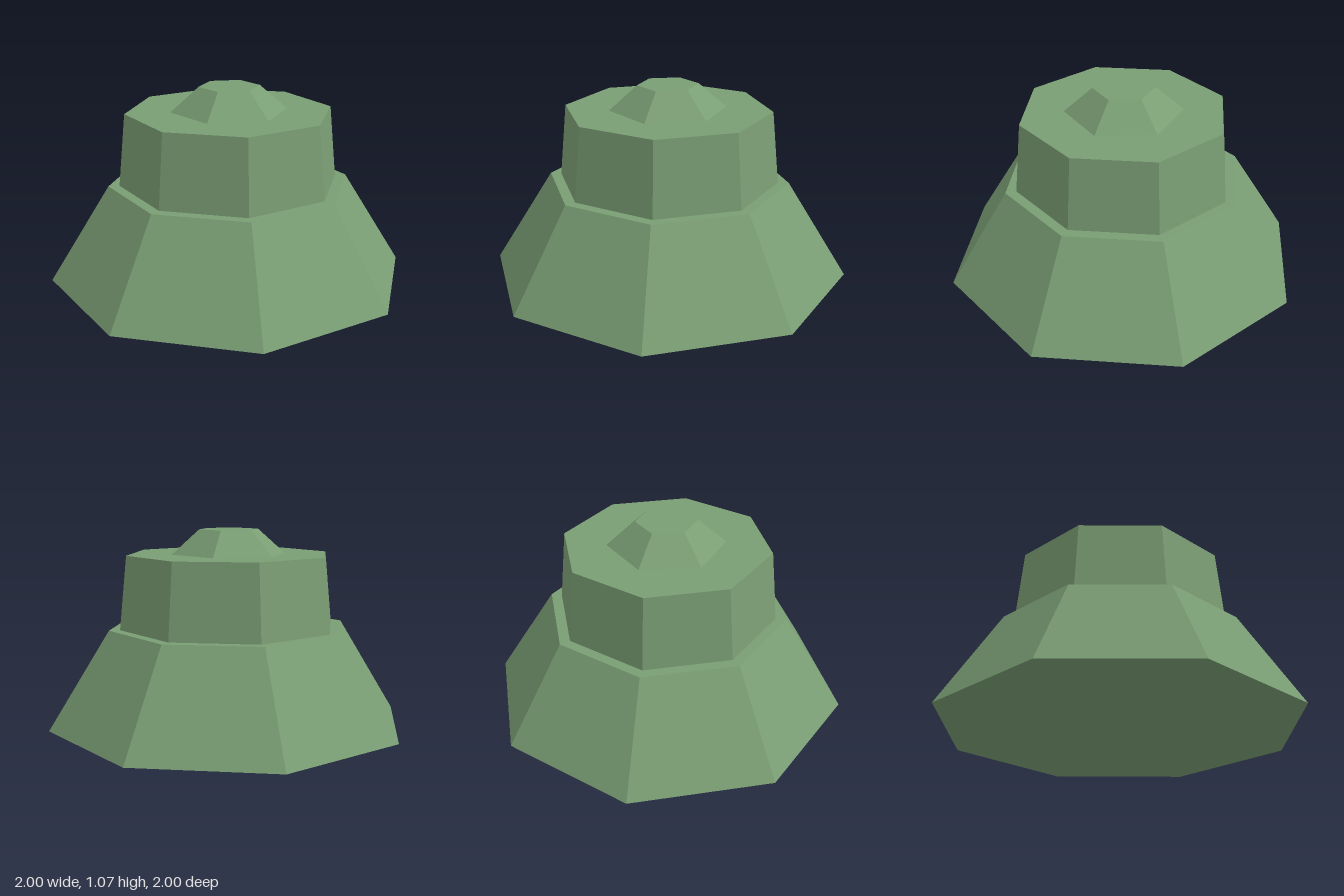
import * as THREE from 'three';

export function createModel() {
  const model = new THREE.Group();
  model.name = 'steppedTower';
  const green = new THREE.MeshStandardMaterial({ color: 0x7a9e74, flatShading: true });
  green.name = 'mossGreen';

  // Adds one tapered, faceted tier resting at height y
  const addTier = (name, topRadius, bottomRadius, y, height, sides, turn = 0) => {
    const geometry = new THREE.CylinderGeometry(topRadius, bottomRadius, height, sides);
    geometry.rotateY(turn);
    const tier = new THREE.Mesh(geometry, green);
    tier.name = name;
    tier.position.y = y + height / 2;
    model.add(tier);
  };

  addTier('flaredBase', 0.667, 1, 0, 0.533, 8);
  addTier('upperDrum', 0.567, 0.607, 0.533, 0.4, 8);
  // Hexagonal cap with corners on the x axis
  addTier('hexCap', 0.167, 0.32, 0.933, 0.134, 6, Math.PI / 6);

  return model;
}
